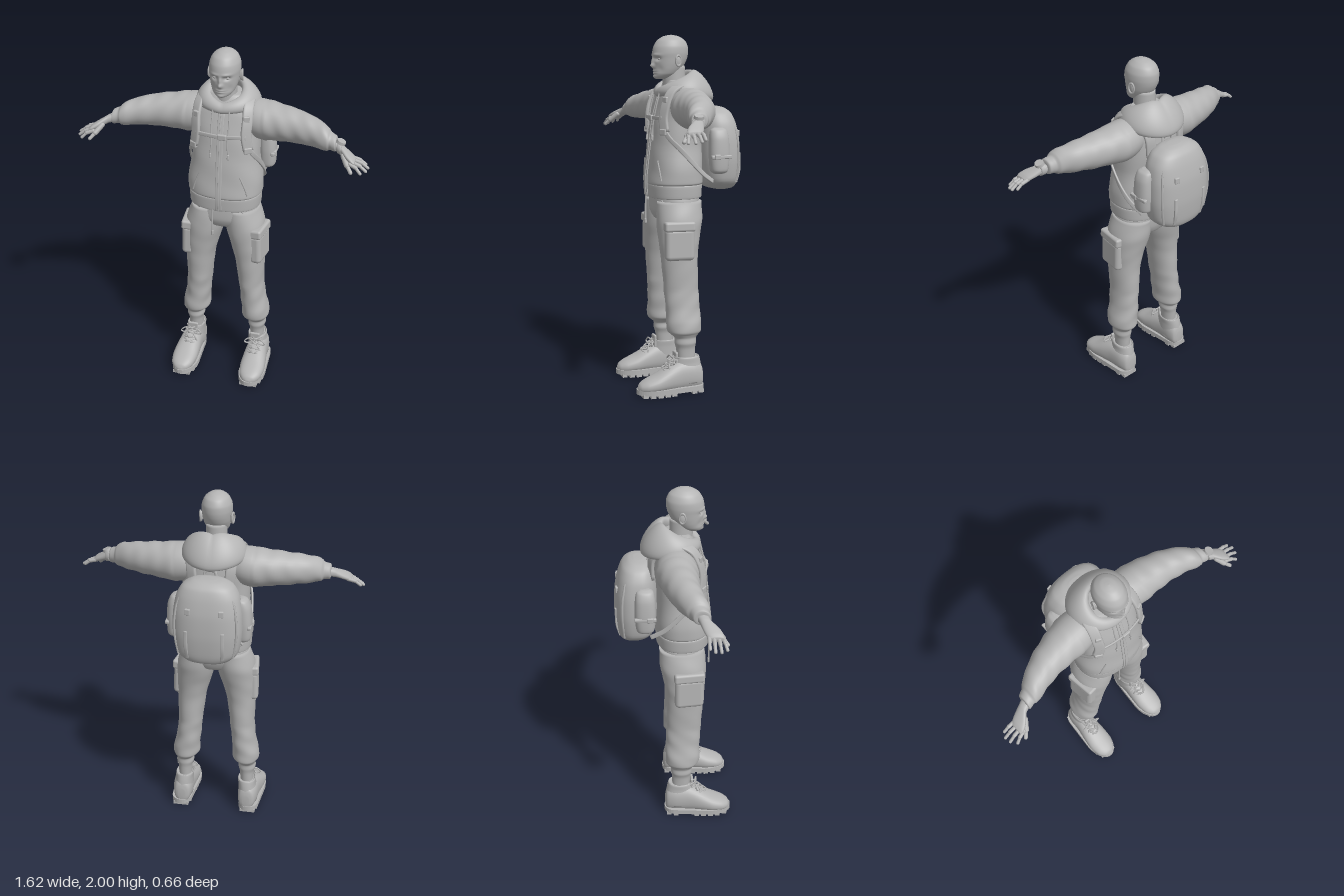
import * as THREE from 'three';
import { mergeVertices } from 'three/addons/utils/BufferGeometryUtils.js';
import { RoundedBoxGeometry } from 'three/addons/geometries/RoundedBoxGeometry.js';

const V = (x, y, z) => new THREE.Vector3(x, y, z);
const pw = (c, p) => Math.sign(c) * Math.abs(c) ** (2 / p);
const TAU = Math.PI * 2;

// Skin of section rings: fn(u, v) gives a point, u runs round the section, v along the part
function skin(nu, nv, fn, loop = false) {
  const pos = [], idx = [], rows = loop ? nv : nv + 1;
  for (let j = 0; j < rows; j++) for (let i = 0; i < nu; i++) pos.push(...fn(i / nu, j / nv).toArray());
  const at = (i, j) => (j % rows) * nu + (i % nu);
  for (let j = 0; j < nv; j++) for (let i = 0; i < nu; i++) {
    const a = at(i, j), b = at(i + 1, j), c = at(i, j + 1), d = at(i + 1, j + 1);
    idx.push(a, c, b, b, c, d);
  }
  if (!loop) for (const j of [0, nv]) {
    const mid = V(0, 0, 0), k = pos.length / 3;
    for (let i = 0; i < nu; i++) mid.add(V(...pos.slice(at(i, j) * 3, at(i, j) * 3 + 3)));
    pos.push(...mid.divideScalar(nu).toArray());
    for (let i = 0; i < nu; i++) j ? idx.push(at(i + 1, j), at(i, j), k) : idx.push(at(i, j), at(i + 1, j), k);
  }
  const g = new THREE.BufferGeometry();
  g.setAttribute('position', new THREE.Float32BufferAttribute(pos, 3));
  g.setIndex(idx);
  g.computeVertexNormals();
  return g;
}

// Loft of rounded sections; ring = [along, centre a, centre b, half a, half b]
// axis y: a=x b=z, axis x: a=z b=y, axis z: a=y b=x
function loft(axis, rings, { p = 2, nu = 32, nv = 30, fold = () => 0, move = () => {} } = {}) {
  const c = new THREE.CatmullRomCurve3(rings.map(r => V(r[0], r[1], r[2])), false, 'catmullrom', 0.4);
  const h = new THREE.CatmullRomCurve3(rings.map(r => V(r[3], r[4], 0)), false, 'catmullrom', 0.4);
  return skin(nu, nv, (u, v) => {
    const o = c.getPoint(v), s = h.getPoint(v), t = u * TAU, k = 1 + fold(o.x, t);
    const a = o.y + s.x * k * pw(Math.cos(t), p), b = o.z + s.y * k * pw(Math.sin(t), p);
    const q = axis === 'y' ? V(a, o.x, b) : axis === 'x' ? V(o.x, b, a) : V(b, a, o.x);
    move(q, o);
    return q;
  });
}

// Flat strap that lies on the body along a path
function strap(points, width, thick) {
  const curve = new THREE.CatmullRomCurve3(points.map(q => V(...q)));
  return skin(16, 36, (u, v) => {
    const P = curve.getPoint(v), T = curve.getTangent(v);
    const N = P.clone().sub(V(P.x * 0.4, Math.min(P.y, 1.55), 0.02));
    N.addScaledVector(T, -N.dot(T)).normalize();
    const W = T.clone().cross(N), t = u * TAU;
    return P.addScaledVector(W, pw(Math.cos(t), 4) * width / 2).addScaledVector(N, pw(Math.sin(t), 4) * thick / 2);
  });
}
const cord = (points, r, closed = false) =>
  new THREE.TubeGeometry(new THREE.CatmullRomCurve3(points.map(q => V(...q)), closed), 24, r, 6, closed);
function box(w, h, d, x, y, z, r = 0.008, ry = 0, rz = 0) {
  return new RoundedBoxGeometry(w, h, d, 3, r).rotateZ(rz).rotateY(ry).translate(x, y, z);
}
const ball = (rx, ry, rz, x, y, z) => new THREE.SphereGeometry(1, 20, 14).scale(rx, ry, rz).translate(x, y, z);
function capsule(a, b, r) {
  const A = V(...a), B = V(...b), d = B.clone().sub(A), m = A.clone().add(B).multiplyScalar(0.5);
  const q = new THREE.Quaternion().setFromUnitVectors(V(0, 1, 0), d.clone().normalize());
  return new THREE.CapsuleGeometry(r, d.length(), 5, 12).applyQuaternion(q).translate(m.x, m.y, m.z);
}
function mirrored(geo) {
  const g = geo.index ? geo.clone() : mergeVertices(geo);
  g.scale(-1, 1, 1);
  g.setIndex(Array.from(g.index.array).reverse());
  return g;
}

export function createModel() {
  const model = new THREE.Group();
  const grey = new THREE.MeshStandardMaterial({ color: 0xb4b4b4 });
  grey.name = 'plain grey';
  const add = (name, geo) => {
    const m = new THREE.Mesh(geo, grey);
    m.name = name;
    model.add(m);
  };
  const pair = (name, geo) => {
    add(name + 'Left', geo);
    add(name + 'Right', mirrored(geo));
  };

  // Head, with the face pushed out of the front
  const bell = (q, x, y, sx, sy) => Math.exp(-(((Math.abs(q.x) - x) / sx) ** 2) - ((q.y - y) / sy) ** 2);
  const face = (q, o) => {
    if (q.z < o.z) return;
    q.z += 0.019 * bell(q, 0, 1.829, 0.013, 0.013) + 0.012 * bell(q, 0, 1.855, 0.009, 0.02)
      + 0.006 * bell(q, 0.034, 1.888, 0.026, 0.008) - 0.014 * bell(q, 0.034, 1.868, 0.017, 0.011)
      + 0.008 * bell(q, 0, 1.796, 0.022, 0.009) - 0.007 * bell(q, 0, 1.796, 0.026, 0.003)
      + 0.007 * bell(q, 0, 1.768, 0.022, 0.012) - 0.005 * bell(q, 0.048, 1.81, 0.015, 0.02);
  };
  add('head', loft('y', [[1.757, 0, 0.115, 0.022, 0.03], [1.768, 0, 0.103, 0.044, 0.052], [1.785, 0, 0.09, 0.06, 0.068],
    [1.81, 0, 0.08, 0.07, 0.079], [1.84, 0, 0.07, 0.077, 0.09], [1.87, 0, 0.065, 0.081, 0.098], [1.9, 0, 0.063, 0.084, 0.102],
    [1.935, 0, 0.06, 0.081, 0.098], [1.968, 0, 0.058, 0.066, 0.08], [1.989, 0, 0.058, 0.041, 0.05],
    [1.997, 0, 0.058, 0.018, 0.022], [2, 0, 0.058, 0.002, 0.002]], { nu: 100, nv: 80, move: face }));
  add('neck', loft('y', [[1.62, 0, 0.03, 0.075, 0.075], [1.72, 0, 0.04, 0.06, 0.064], [1.83, 0, 0.045, 0.058, 0.066]], { nv: 12 }));
  pair('eye', ball(0.013, 0.01, 0.012, 0.034, 1.867, 0.134));
  pair('ear', ball(0.009, 0.031, 0.019, 0.084, 1.857, 0.045));
  pair('earRim', new THREE.TorusGeometry(0.02, 0.005, 8, 24).scale(0.85, 1.4, 1).rotateY(Math.PI / 2 + 0.25).translate(0.09, 1.858, 0.045));

  // Jacket body and sleeves
  add('jacket', loft('y', [[1.1, 0, 0.05, 0.188, 0.14], [1.115, 0, 0.05, 0.197, 0.148], [1.17, 0, 0.05, 0.199, 0.15],
    [1.185, 0, 0.05, 0.21, 0.155], [1.25, 0, 0.047, 0.209, 0.151], [1.4, 0, 0.04, 0.188, 0.142], [1.54, 0, 0.025, 0.185, 0.138],
    [1.65, 0, 0.015, 0.188, 0.118], [1.71, 0, 0.012, 0.155, 0.095], [1.75, 0, 0.015, 0.095, 0.07]],
  { p: 2.4, nu: 64, nv: 48, fold: (y, t) => 0.008 * Math.sin(y * 38 + 3 * Math.cos(t)) }));
  add('hem', loft('y', [[1.098, 0, 0.05, 0.194, 0.147], [1.105, 0, 0.05, 0.2, 0.151], [1.165, 0, 0.05, 0.203, 0.153],
    [1.175, 0, 0.05, 0.198, 0.149]], { p: 2.4, nu: 64, nv: 12 }));
  const sleeveFold = (x, t) => (x > 0.22 && x < 0.6 ? 0.028 * Math.sin(x * 62 + 1.8 * Math.sin(t)) * Math.sin(t * 2 + x * 5) : 0);
  pair('sleeve', loft('x', [[0.1, 0.005, 1.61, 0.085, 0.085], [0.16, 0.01, 1.605, 0.108, 0.106], [0.22, 0.012, 1.598, 0.112, 0.11],
    [0.3, 0.02, 1.597, 0.103, 0.1], [0.4, 0.037, 1.593, 0.09, 0.09], [0.48, 0.06, 1.587, 0.08, 0.08], [0.545, 0.088, 1.578, 0.069, 0.07],
    [0.575, 0.1, 1.57, 0.061, 0.06], [0.59, 0.107, 1.567, 0.05, 0.047], [0.62, 0.117, 1.56, 0.045, 0.042], [0.625, 0.119, 1.559, 0.034, 0.03]],
  { nv: 64, fold: sleeveFold }));

  // Hood lying folded round the neck
  add('hood', skin(28, 72, (u, v) => {
    const th = v * TAU, b = (1 - Math.cos(th)) / 2, s = Math.abs(Math.sin(th)), t = u * TAU;
    const r = (0.024 + 0.038 * b + 0.008 * s) * Math.cos(t), h = (0.026 + 0.028 * b + 0.008 * s) * Math.sin(t);
    const R = V(Math.sin(th), 0, Math.cos(th));
    const C = V(0.127 * Math.sin(th), 1.685 + 0.03 * b + 0.02 * s, 0.003 + 0.122 * Math.cos(th));
    return C.addScaledVector(R, r).add(V(0, h - r * (0.3 + 0.75 * b), 0));
  }, true));

  // Zip, cords and pocket seams
  const zipPath = [[0, 1.1, 0.201], [0, 1.18, 0.208], [0, 1.3, 0.197], [0, 1.42, 0.182], [0, 1.54, 0.166], [0, 1.66, 0.134]];
  add('zipPlacket', strap(zipPath, 0.036, 0.008));
  add('zip', strap(zipPath.map(([x, y, z]) => [x, y, z + 0.005]), 0.008, 0.006));
  pair('hoodCord', cord([[0.045, 1.69, 0.14], [0.048, 1.6, 0.162], [0.045, 1.5, 0.18], [0.05, 1.44, 0.184]], 0.004));
  pair('cordTip', capsule([0.05, 1.44, 0.184], [0.05, 1.42, 0.186], 0.006));
  pair('jacketPocketSeam', cord([[0.115, 1.31, 0.176], [0.14, 1.25, 0.172], [0.155, 1.2, 0.168]], 0.005));
  add('waistCord', cord([[-0.035, 1.12, 0.195], [-0.037, 1.03, 0.2], [-0.036, 0.95, 0.2]], 0.005));
  add('waistCordTip', capsule([-0.036, 0.965, 0.2], [-0.036, 0.945, 0.2], 0.007));

  // Forearms, hands and watch
  pair('hand', loft('x', [[0.57, 0.105, 1.565, 0.034, 0.03], [0.64, 0.13, 1.55, 0.029, 0.024], [0.66, 0.142, 1.542, 0.033, 0.022],
    [0.69, 0.162, 1.527, 0.042, 0.02], [0.72, 0.177, 1.512, 0.043, 0.017], [0.738, 0.184, 1.502, 0.035, 0.012]], { p: 2.3 }));
  const fingers = [[0.727, 1.508, 0.145, 0.787, 1.478, 0.146], [0.735, 1.505, 0.169, 0.803, 1.47, 0.172],
    [0.732, 1.501, 0.193, 0.797, 1.464, 0.203], [0.722, 1.5, 0.213, 0.773, 1.462, 0.233]];
  fingers.forEach(([x, y, z, X, Y, Z], i) => {
    const knuckle = [(x + X) / 2, (y + Y) / 2 + 0.006, (z + Z) / 2];
    pair('finger' + (i + 1), capsule([x - 0.01, y, z], knuckle, 0.0105));
    pair('fingerTip' + (i + 1), capsule(knuckle, [X, Y, Z], 0.0085));
  });
  pair('thumb', capsule([0.672, 1.525, 0.178], [0.7, 1.49, 0.215], 0.015));
  pair('thumbTip', capsule([0.7, 1.49, 0.215], [0.724, 1.463, 0.238], 0.0105));
  add('watchBand', loft('x', [[0.632, 0.127, 1.551, 0.03, 0.026], [0.634, 0.128, 1.551, 0.037, 0.033],
    [0.654, 0.138, 1.545, 0.037, 0.033], [0.656, 0.139, 1.545, 0.03, 0.026]], { nv: 12 }));
  add('watchFace', new THREE.CylinderGeometry(0.024, 0.026, 0.016, 28).rotateZ(-0.35).translate(0.65, 1.582, 0.133));

  // Trousers
  add('hips', loft('y', [[0.955, 0, 0.045, 0.07, 0.07], [0.975, 0, 0.047, 0.13, 0.105], [1.02, 0, 0.047, 0.185, 0.125],
    [1.08, 0, 0.043, 0.19, 0.13], [1.13, 0, 0.042, 0.175, 0.125]], { p: 2.3, nu: 48 }));
  const legFold = (y, t) => (y < 0.6 && y > 0.34 ? 0.03 : 0.01) * Math.sin(y * 48 + 2.2 * Math.sin(t)) * Math.cos(t * 2 + y * 9);
  pair('trouserLeg', loft('y', [[0.16, 0.19, 0.035, 0.038, 0.048], [0.25, 0.19, 0.038, 0.042, 0.055], [0.285, 0.19, 0.04, 0.052, 0.062],
    [0.315, 0.19, 0.04, 0.05, 0.062], [0.335, 0.186, 0.042, 0.062, 0.08], [0.355, 0.181, 0.044, 0.077, 0.096], [0.41, 0.178, 0.045, 0.077, 0.1],
    [0.49, 0.165, 0.048, 0.071, 0.098], [0.6, 0.155, 0.053, 0.072, 0.1], [0.76, 0.146, 0.06, 0.085, 0.105], [0.86, 0.133, 0.058, 0.1, 0.115],
    [0.97, 0.115, 0.05, 0.112, 0.13], [1.08, 0.095, 0.042, 0.097, 0.127]], { nv: 76, nu: 40, p: 2.1, fold: legFold }));
  pair('cargoPocket', box(0.07, 0.18, 0.165, 0.206, 0.85, 0.08, 0.025, -0.12, 0.03));
  pair('cargoFlap', box(0.07, 0.055, 0.172, 0.208, 0.95, 0.08, 0.014, -0.12, 0.06));
  pair('hipPocketSeam', cord([[0.12, 1.09, 0.155], [0.17, 1.03, 0.142], [0.203, 0.99, 0.11]], 0.004));

  // Boots
  pair('bootFoot', loft('z', [[-0.057, 0.08, 0.198, 0.035, 0.02], [-0.045, 0.09, 0.198, 0.07, 0.045], [0, 0.1, 0.2, 0.085, 0.058],
    [0.08, 0.1, 0.203, 0.085, 0.061], [0.15, 0.088, 0.206, 0.07, 0.069], [0.22, 0.07, 0.209, 0.05, 0.073], [0.28, 0.058, 0.21, 0.036, 0.062],
    [0.313, 0.05, 0.21, 0.024, 0.038], [0.326, 0.045, 0.21, 0.008, 0.012]], { p: 2.3 }));
  pair('bootShaft', loft('y', [[0.06, 0.2, 0.025, 0.057, 0.08], [0.12, 0.198, 0.03, 0.056, 0.084], [0.17, 0.194, 0.03, 0.053, 0.077],
    [0.2, 0.192, 0.03, 0.054, 0.07], [0.208, 0.191, 0.03, 0.05, 0.066], [0.2, 0.191, 0.03, 0.044, 0.058]], { p: 2.2 }));
  pair('bootTongue', box(0.06, 0.075, 0.016, 0.193, 0.2, 0.1, 0.007));
  const half = z => (z > 0.2 ? 0.077 * Math.sqrt(Math.max(0, 1 - ((z - 0.2) / 0.133) ** 2))
    : z < 0 ? 0.06 * Math.sqrt(Math.max(0, 1 - (z / 0.062) ** 2)) : 0.06 + 0.085 * z);
  const outline = new THREE.Shape();
  for (let i = 0; i < 60; i++) {
    const a = i / 60 * TAU, z = 0.135 + 0.197 * Math.cos(a), x = 0.206 + Math.sign(Math.sin(a)) * half(z);
    i ? outline.lineTo(x, -z) : outline.moveTo(x, -z);
  }
  pair('sole', new THREE.ExtrudeGeometry(outline, { depth: 0.028, bevelEnabled: false }).rotateX(-Math.PI / 2).translate(0, 0.016, 0));
  for (const i of [0, 1, 4, 5, 6, 7, 8]) {
    const z = -0.035 + i * 0.041;
    pair('tread' + i, new THREE.BoxGeometry(half(z) * 1.85, 0.02, 0.029).translate(0.206, 0.01, z));
  }
  for (let i = 0; i < 4; i++) for (const s of [-1, 1]) {
    const y = 0.138 + i * 0.018, z = 0.18 - i * 0.021;
    pair('lace' + i, cord([[0.2 - s * 0.034, y, z - 0.015], [0.2, y + 0.015, z + 0.003], [0.2 + s * 0.034, y + 0.018, z - 0.028]], 0.0045));
  }
  for (const s of [-1, 1]) {
    pair('bowLoop', cord([[0.198, 0.195, 0.115], [0.198 + s * 0.035, 0.21, 0.125], [0.198 + s * 0.062, 0.185, 0.13], [0.198 + s * 0.04, 0.178, 0.128]], 0.0045, true));
    pair('bowEnd', cord([[0.198, 0.195, 0.115], [0.198 + s * 0.025, 0.175, 0.145], [0.198 + s * 0.045, 0.14, 0.15]], 0.004));
  }

  // Backpack
  add('packBody', loft('y', [[1.13, 0, -0.23, 0.07, 0.04], [1.145, 0, -0.222, 0.125, 0.082], [1.19, 0, -0.212, 0.172, 0.108],
    [1.3, 0, -0.21, 0.19, 0.12], [1.42, 0, -0.207, 0.187, 0.118], [1.51, 0, -0.2, 0.17, 0.106], [1.565, 0, -0.195, 0.138, 0.088],
    [1.593, 0, -0.192, 0.09, 0.058], [1.602, 0, -0.192, 0.04, 0.025]], { p: 2.5, nu: 64, nv: 40 }));
  pair('packSidePocket', loft('y', [[1.235, 0.185, -0.16, 0.025, 0.03], [1.255, 0.187, -0.16, 0.044, 0.05], [1.34, 0.188, -0.16, 0.048, 0.058],
    [1.43, 0.183, -0.16, 0.046, 0.055], [1.475, 0.175, -0.16, 0.036, 0.046], [1.49, 0.17, -0.16, 0.015, 0.025]], { p: 2.4 }));
  pair('packSideStrap', box(0.022, 0.02, 0.12, 0.226, 1.33, -0.16, 0.006));
  pair('packBuckle', box(0.018, 0.03, 0.035, 0.233, 1.33, -0.135, 0.006));
  pair('packBackStrap', strap([[0.095, 1.17, -0.3], [0.1, 1.24, -0.317], [0.1, 1.34, -0.318]], 0.02, 0.014));
  pair('packTopTab', box(0.03, 0.035, 0.016, 0.09, 1.45, -0.312, 0.005, -0.15));
  add('packSeam', cord([[-0.15, 1.18, -0.275], [-0.168, 1.3, -0.284], [-0.165, 1.42, -0.28], [-0.135, 1.52, -0.261], [0, 1.582, -0.254],
    [0.135, 1.52, -0.261], [0.165, 1.42, -0.28], [0.168, 1.3, -0.284], [0.15, 1.18, -0.275]], 0.007));
  add('packHandle', cord([[-0.035, 1.585, -0.14], [-0.025, 1.615, -0.135], [0.025, 1.615, -0.135], [0.035, 1.585, -0.14]], 0.008));

  // Shoulder straps and chest strap
  pair('shoulderStrap', strap([[0.1, 1.52, -0.125], [0.11, 1.64, -0.118], [0.12, 1.715, -0.06], [0.13, 1.73, 0.02], [0.138, 1.695, 0.095],
    [0.142, 1.63, 0.132], [0.14, 1.55, 0.15], [0.152, 1.47, 0.148]], 0.058, 0.022));
  pair('lowerStrap', strap([[0.15, 1.49, 0.152], [0.175, 1.44, 0.13], [0.197, 1.38, 0.075], [0.206, 1.3, 0], [0.196, 1.24, -0.06], [0.17, 1.19, -0.13]], 0.026, 0.012));
  pair('strapBuckle', box(0.045, 0.035, 0.02, 0.152, 1.47, 0.155, 0.006, 0.5));
  pair('strapPatch', box(0.034, 0.034, 0.018, 0.139, 1.645, 0.138, 0.006, 0.4));
  add('chestStrap', strap([[-0.14, 1.545, 0.16], [-0.07, 1.545, 0.175], [0, 1.543, 0.18], [0.07, 1.545, 0.175], [0.14, 1.545, 0.16]], 0.022, 0.01));
  add('chestBuckle', box(0.05, 0.032, 0.018, 0.015, 1.543, 0.182, 0.006));
  return model;
}
